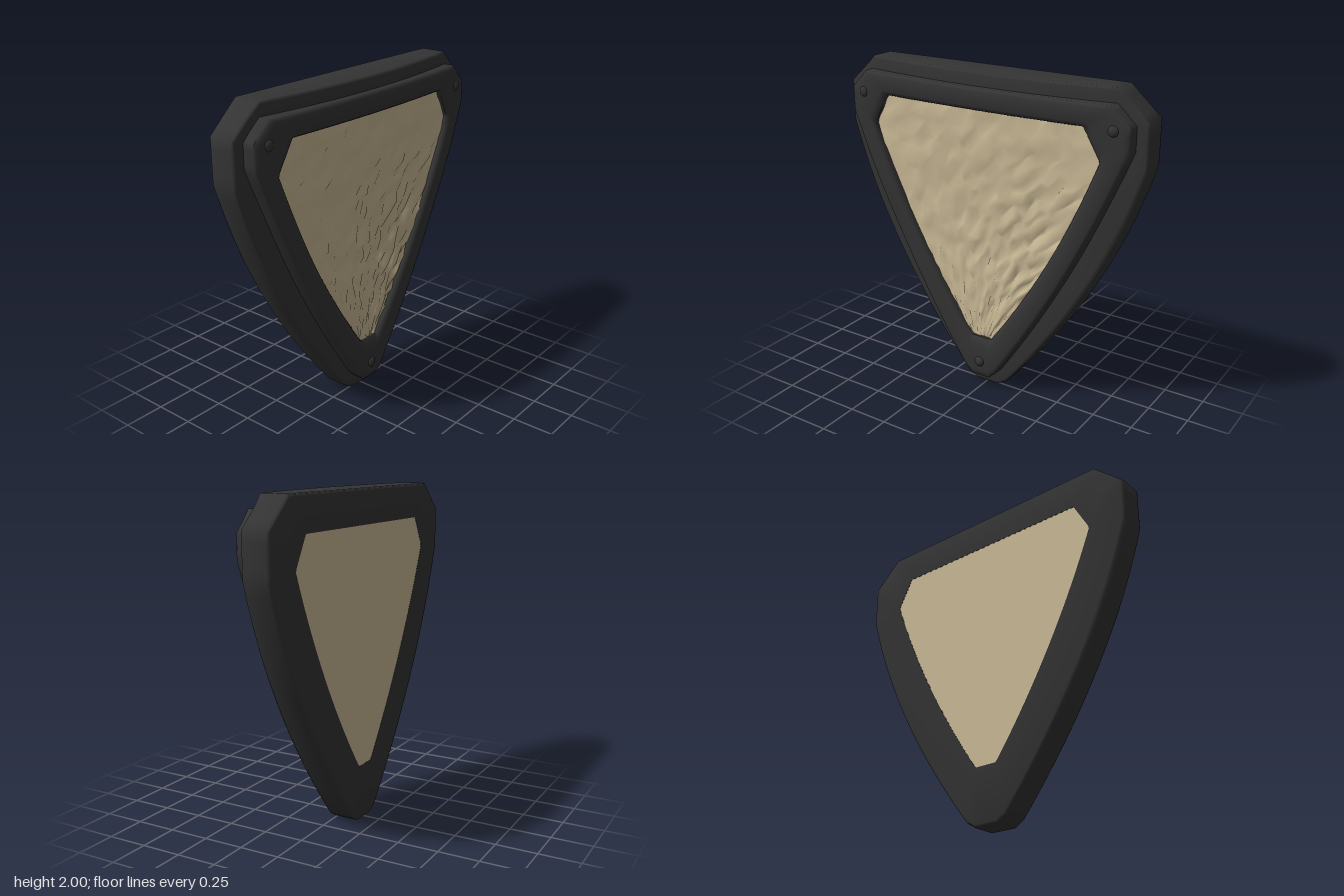
import * as THREE from 'three';
import { toCreasedNormals } from 'three/addons/utils/BufferGeometryUtils.js';

const V = (x, y) => new THREE.Vector2(x, y);

// Right half of a rounded-triangle outline, from top middle to bottom middle.
function halfOutline(a, b, c, ctrl, d, e) {
  const pts = [];
  const line = (p, q, n) => {
    for (let i = 0; i < n; i++) pts.push(p.clone().lerp(q, i / n));
  };
  line(V(0, a.y), a, 12);
  line(a, b, 4);
  line(b, c, 4);
  const side = new THREE.QuadraticBezierCurve(c, ctrl, d).getPoints(20);
  pts.push(...side.slice(0, -1));
  line(d, e, 3);
  line(e, V(0, e.y), 3);
  pts.push(V(0, e.y));
  return pts;
}

// Full clockwise outline by mirroring.
function fullOutline(half) {
  const left = half.slice(1, -1).reverse().map(p => V(-p.x, p.y));
  return [...half, ...left];
}

const blend = (p, q, t) => p.map((v, i) => v.clone().lerp(q[i], t));

// The front bows forward along the top bar.
function bow(x, y) {
  return Math.max(0, 1 - (x / 0.88) ** 2) * THREE.MathUtils.smoothstep(y, 0.9, 1.85);
}

// Skin a list of [outline, base z, bow amount] sections.
function loft(sections) {
  const n = sections[0][0].length, pos = [], index = [];
  for (const [outline, z, k] of sections)
    for (const p of outline) pos.push(p.x, p.y, z + k * bow(p.x, p.y));
  for (let r = 0; r < sections.length - 1; r++) {
    for (let j = 0; j < n; j++) {
      const k = (j + 1) % n, a = r * n + j, b = r * n + k;
      index.push(a, a + n, b, b, a + n, b + n);
    }
  }
  const g = new THREE.BufferGeometry();
  g.setAttribute('position', new THREE.Float32BufferAttribute(pos, 3));
  g.setIndex(index);
  return toCreasedNormals(g, 0.9);
}

// Repeatable noise in -1..1.
function hash(i, j) {
  const s = Math.sin(i * 127.1 + j * 311.7) * 43758.5453;
  return 2 * (s - Math.floor(s)) - 1;
}

export function createModel() {
  const group = new THREE.Group();
  const black = new THREE.MeshStandardMaterial({ color: 0x343434 });
  black.name = 'charcoal';
  const tan = new THREE.MeshStandardMaterial({ color: 0xcdbc98 });
  tan.name = 'sand';
  const add = (name, geometry, material) => {
    const mesh = new THREE.Mesh(geometry, material);
    mesh.name = name;
    group.add(mesh);
    return mesh;
  };

  const openHalf = halfOutline(V(0.66, 1.79), V(0.755, 1.62), V(0.76, 1.6), V(0.51, 0.95), V(0.085, 0.36), V(0.07, 0.345));
  const outer = fullOutline(halfOutline(V(0.81, 2), V(1, 1.83), V(1, 1.57), V(0.78, 0.8), V(0.14, 0.035), V(0.08, 0)));
  const ring = fullOutline(halfOutline(V(0.82, 1.92), V(0.93, 1.81), V(0.93, 1.67), V(0.62, 0.87), V(0.11, 0.12), V(0.06, 0.075)));
  const opening = fullOutline(openHalf);

  // Thick outer frame with rounded edges
  add('outerFrame', loft([
    [opening, -0.15, 0],
    [blend(outer, ring, 0.2), -0.15, 0],
    [blend(outer, ring, 0.06), -0.145, 0],
    [outer, -0.13, 0],
    [outer, 0.005, 0.08],
    [blend(outer, ring, 0.06), 0.016, 0.08],
    [blend(outer, ring, 0.2), 0.02, 0.08],
    [blend(ring, opening, 0.2), 0.02, 0.08],
  ]), black);

  // Raised inner rim around the opening
  add('raisedRim', loft([
    [ring, 0, 0.08],
    [ring, 0.09, 0.04],
    [blend(ring, opening, 0.05), 0.1, 0.04],
    [blend(ring, opening, 0.16), 0.106, 0.04],
    [blend(ring, opening, 0.8), 0.106, 0.04],
    [blend(ring, opening, 0.93), 0.098, 0.04],
    [opening, 0.085, 0.04],
    [opening, 0, 0],
  ]), black);

  // Rivets at the three corners
  for (const [x, y] of [[-0.835, 1.79], [0.835, 1.79], [0, 0.18]]) {
    const rivet = add('rivet', new THREE.SphereGeometry(0.033, 16, 12), black);
    rivet.scale.z = 0.6;
    rivet.position.set(x, y, 0.103);
  }

  // Half width of the opening at height y
  const halfWidth = y => {
    for (let i = 12; i < openHalf.length - 1; i++) {
      const p = openHalf[i], q = openHalf[i + 1];
      if (y <= p.y && y >= q.y && p.y > q.y)
        return THREE.MathUtils.lerp(p.x, q.x, (p.y - y) / (p.y - q.y));
    }
    return y > 1 ? 0.66 : 0.07;
  };

  // Rough stone-like front panel
  const N = 28;
  const stone = new THREE.PlaneGeometry(1, 1, N, N);
  const pos = stone.attributes.position;
  for (let i = 0; i < pos.count; i++) {
    const col = i % (N + 1), row = Math.floor(i / (N + 1));
    const inside = col > 0 && col < N && row > 0 && row < N;
    const jitter = inside ? 0.35 / N : 0;
    const u = 2 * (pos.getX(i) + jitter * hash(col, row + 50));
    const y = 0.335 + 1.465 * (pos.getY(i) + 0.5 + jitter * hash(col + 90, row));
    const x = u * (halfWidth(y) + 0.01);
    const rough = 0.007 + 0.012 * Math.exp(-((x - 0.2) ** 2 + (y - 1) ** 2) / 0.25);
    pos.setXYZ(i, x, y, 0.07 + 0.03 * bow(x, y) + rough * hash(col, row));
  }
  stone.computeVertexNormals();
  add('frontPanel', stone, tan);

  // Flat back panel, flush with the frame
  const back = new THREE.ShapeGeometry(new THREE.Shape(opening.map(p => V(-p.x, p.y))));
  back.rotateY(Math.PI);
  add('backPanel', back, tan).position.z = -0.149;

  return group;
}
